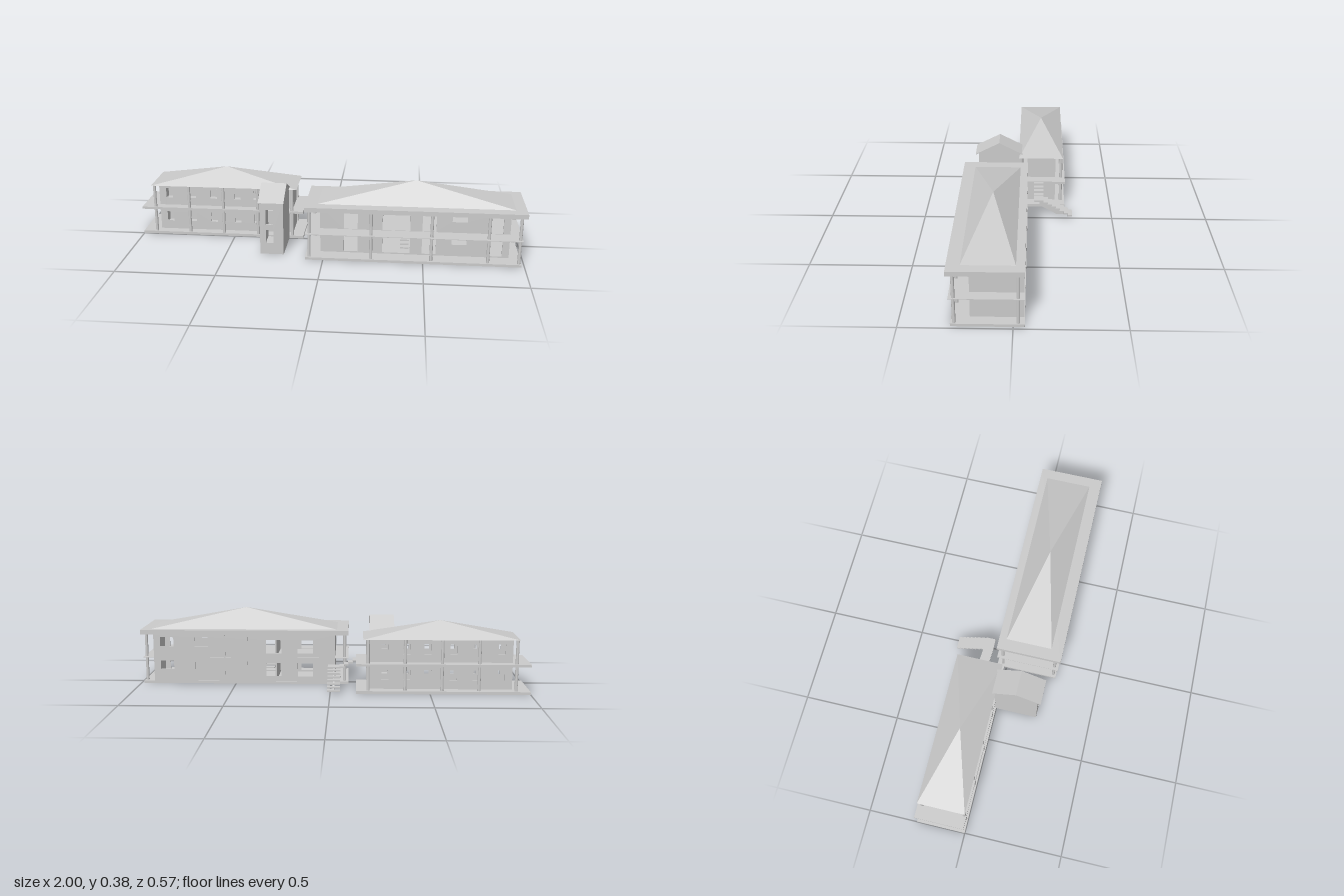
import * as THREE from 'three';

const mat = new THREE.MeshStandardMaterial({ color: 0xcccccc, flatShading: true, side: THREE.DoubleSide });

export function createModel() {
  const model = new THREE.Group();

  const add = (parent, name, geo) => {
    const m = new THREE.Mesh(geo, mat);
    m.name = name;
    parent.add(m);
    return m;
  };
  // Box given by its min and max on each axis
  const box = (parent, name, x0, x1, y0, y1, z0, z1) => {
    const m = add(parent, name, new THREE.BoxGeometry(x1 - x0, y1 - y0, z1 - z0));
    m.position.set((x0 + x1) / 2, (y0 + y1) / 2, (z0 + z1) / 2);
    return m;
  };
  // Wall facing z with rectangular openings [centre x, width, y0, y1]
  const wall = (parent, name, x0, x1, y0, y1, z0, thick, openings) => {
    const rect = (S, a, b, c, d) => {
      const s = new S();
      s.moveTo(a, c); s.lineTo(b, c); s.lineTo(b, d); s.lineTo(a, d); s.closePath();
      return s;
    };
    const shape = rect(THREE.Shape, x0, x1, y0, y1);
    for (const [cx, w, a, b] of openings) shape.holes.push(rect(THREE.Path, cx - w / 2, cx + w / 2, a, b));
    const m = add(parent, name, new THREE.ExtrudeGeometry(shape, { depth: thick, bevelEnabled: false }));
    m.position.z = z0;
    return m;
  };
  // Profile in (z, y), extruded along x
  const sidePlate = (parent, name, pts, x0, thick) => {
    const shape = new THREE.Shape(pts.map(([z, y]) => new THREE.Vector2(-z, y)));
    const m = add(parent, name, new THREE.ExtrudeGeometry(shape, { depth: thick, bevelEnabled: false }));
    m.rotation.y = Math.PI / 2;
    m.position.x = x0;
    return m;
  };
  // Four-sided roof rising to a single point
  const hipRoof = (parent, name, x0, x1, y0, y1, z0, z1) => {
    const geo = new THREE.ConeGeometry(Math.SQRT1_2, 1, 4).rotateY(Math.PI / 4);
    geo.scale(x1 - x0, y1 - y0, z1 - z0);
    const m = add(parent, name, geo);
    m.position.set((x0 + x1) / 2, (y0 + y1) / 2, (z0 + z1) / 2);
  };
  const column = (parent, x, z, y0, y1) => {
    const m = add(parent, 'column', new THREE.CylinderGeometry(0.008, 0.008, y1 - y0, 12));
    m.position.set(x, (y0 + y1) / 2, z);
  };
  const group = (name) => {
    const g = new THREE.Group();
    g.name = name;
    model.add(g);
    return g;
  };

  // ---- Large building ----
  const large = group('largeBuilding');
  box(large, 'groundSlab', -0.09, 0.985, 0, 0.013, -0.05, 0.272);
  box(large, 'upperFloor', -0.09, 0.985, 0.137, 0.14, -0.05, 0.278);
  box(large, 'roofSlab', -0.09, 0.998, 0.26, 0.283, -0.05, 0.285);
  hipRoof(large, 'hipRoof', -0.03, 0.945, 0.283, 0.383, -0.012, 0.225);
  for (const x of [-0.07, 0.24, 0.54, 0.82, 0.972]) column(large, x, 0.256, 0.013, 0.26);
  for (const x of [-0.07, 0.972]) column(large, x, -0.022, 0.013, 0.26);

  const backOpenings = [], frontOpenings = [];
  for (const [low, high, doorTop] of [[0.075, 0.12, 0.11], [0.197, 0.245, 0.232]]) {
    for (const x of [0.68, 0.86]) backOpenings.push([x, 0.07, low, high]);
    for (const x of [0.135, 0.3]) backOpenings.push([x, 0.08, doorTop - 0.07, doorTop]);
    for (const x of [0.135, 0.53, 0.86]) frontOpenings.push([x, 0.07, doorTop - 0.09, doorTop]);
    frontOpenings.push([0.68, 0.075, low, high]);
    // open stair hall
    frontOpenings.push([0.365, 0.14, doorTop - 0.09, doorTop + 0.015]);
  }
  wall(large, 'backWall', -0.02, 0.93, 0.013, 0.26, -0.047, 0.008, backOpenings);
  wall(large, 'frontWall', -0.02, 0.93, 0.013, 0.26, 0.182, 0.008, frontOpenings);
  for (const x of [-0.02, 0.285, 0.437, 0.922]) box(large, 'crossWall', x, x + 0.008, 0.013, 0.26, -0.042, 0.186);
  for (const x of [0.44, 0.557]) box(large, 'backPilaster', x - 0.003, x + 0.003, 0.013, 0.26, -0.05, -0.045);

  // Inner stair in two flights
  for (let i = 0; i < 5; i++) {
    const y = 0.022 + i * 0.012, z = 0.14 - i * 0.022;
    box(large, 'lowerStep', 0.385, 0.43, y, y + 0.008, z - 0.022, z);
    box(large, 'upperStep', 0.3, 0.37, y + 0.06, y + 0.068, 0.03 + i * 0.022, 0.052 + i * 0.022);
  }
  box(large, 'stairLanding', 0.3, 0.43, 0.074, 0.08, -0.01, 0.03);

  // ---- Small building ----
  const small = group('smallBuilding');
  box(small, 'groundSlab', -1, -0.13, 0, 0.014, -0.25, 0);
  box(small, 'balconySlab', -1, -0.13, 0.14, 0.152, -0.25, 0);
  hipRoof(small, 'hipRoof', -0.945, -0.165, 0.273, 0.355, -0.238, 0);
  for (let i = 0; i < 5; i++) {
    for (const z of [-0.228, -0.012]) column(small, -0.93 + i * 0.185, z, 0.014, 0.273);
  }
  const windows = [];
  for (const x of [-0.86, -0.735, -0.62, -0.49, -0.385, -0.275]) {
    for (const y of [0.06, 0.193]) windows.push([x, 0.036, y, y + 0.052]);
  }
  wall(small, 'frontWall', -0.915, -0.19, 0.014, 0.273, -0.055, 0.008, windows);
  wall(small, 'backWall', -0.915, -0.19, 0.014, 0.273, -0.198, 0.008, windows);
  for (const x of [-0.915, -0.198]) box(small, 'endWall', x, x + 0.008, 0.014, 0.273, -0.192, -0.052);

  // ---- Entrance tower with gable roof ----
  const tower = group('tower');
  const gable = [[-0.005, 0], [0.218, 0], [0.218, 0.285], [0.107, 0.341], [-0.005, 0.285]];
  for (const x of [-0.325, -0.211]) sidePlate(tower, 'gableWall', gable, x, 0.006);
  wall(tower, 'frontWall', -0.325, -0.205, 0, 0.285, 0.21, 0.008,
    [[-0.275, 0.038, 0.06, 0.13], [-0.275, 0.038, 0.16, 0.24]]);
  box(tower, 'floor', -0.322, -0.208, 0, 0.006, -0.005, 0.214);
  const roof = [[-0.021, 0.277], [0.107, 0.341], [0.235, 0.277], [0.235, 0.281], [0.107, 0.346], [-0.021, 0.281]];
  sidePlate(tower, 'gableRoof', roof, -0.33, 0.13);

  // ---- Outside stair ----
  const stair = group('outsideStair');
  for (let i = 0; i < 4; i++) {
    const x = -0.135 + i * 0.022, y = 0.141 - i * 0.0115;
    box(stair, 'bridgeStep', x, x + 0.024, y, y + 0.008, -0.135, -0.083);
  }
  box(stair, 'landing', -0.05, 0.015, 0.104, 0.112, -0.135, -0.083);
  for (let i = 0; i < 7; i++) {
    const z = -0.134 - i * 0.0217, y = 0.092 - i * 0.0124;
    box(stair, 'step', -0.05, 0.015, y, y + 0.009, z - 0.023, z);
  }
  const stringer = [[-0.113, 0.104], [-0.135, 0.1], [-0.278, 0.018], [-0.207, 0.016], [-0.113, 0.07]];
  sidePlate(stair, 'stringer', stringer, -0.021, 0.008);

  return model;
}
